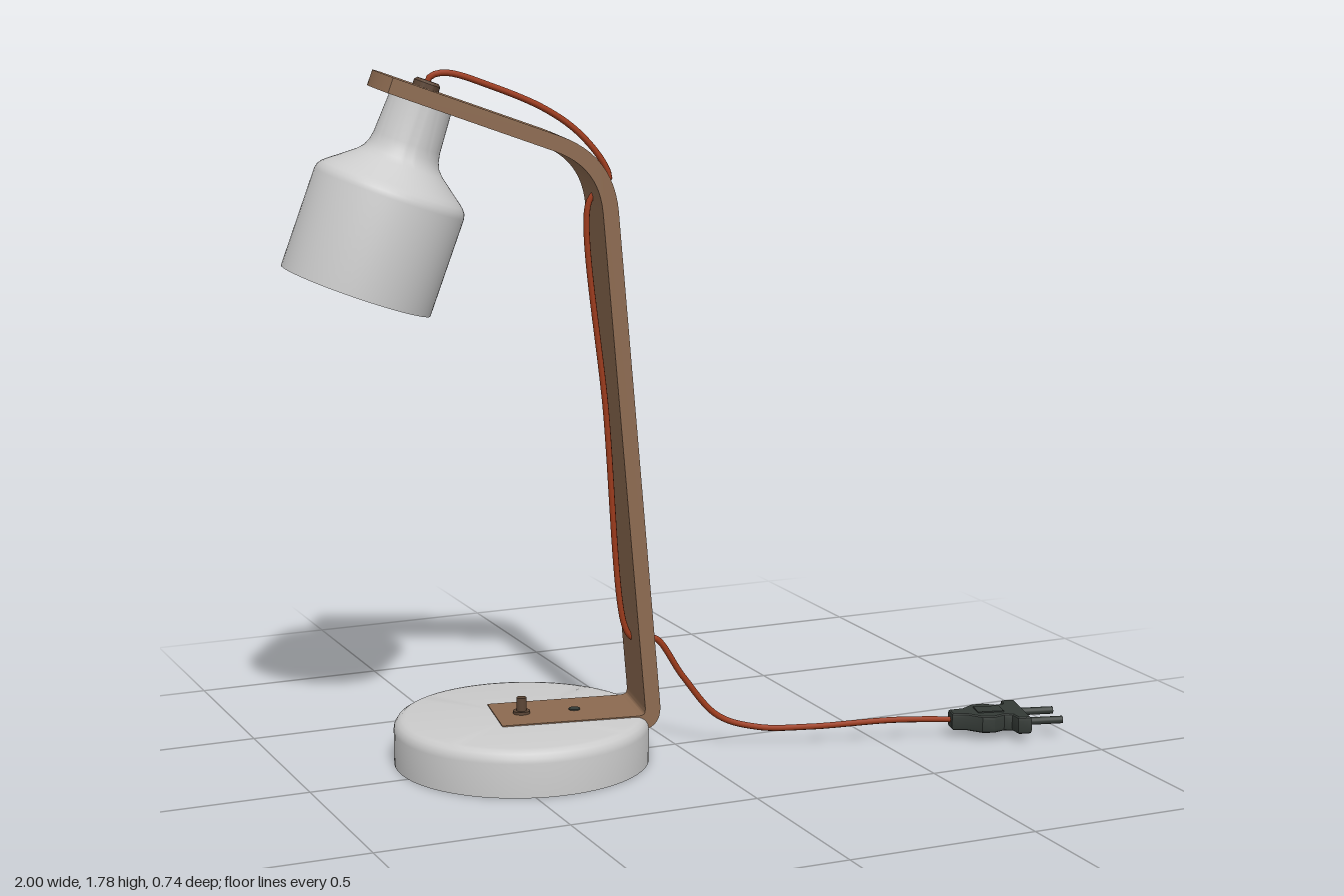
import * as THREE from 'three';
import { toCreasedNormals } from 'three/addons/utils/BufferGeometryUtils.js';

const material = (color, side = THREE.FrontSide) => new THREE.MeshStandardMaterial({ color, side });
const grey = material(0xcccccc);
const greyOpen = material(0xcccccc, THREE.DoubleSide);
const wood = material(0x8c6a50);
const metal = material(0x5c4636);
const cordRed = material(0x9c3a1a);
const black = material(0x343a36);

function add(parent, name, geometry, mat, position = [0, 0, 0], tilt = 0) {
  const mesh = new THREE.Mesh(geometry, mat);
  mesh.name = name;
  mesh.position.set(...position);
  mesh.rotation.z = tilt;
  parent.add(mesh);
  return mesh;
}

const lathe = (points) =>
  toCreasedNormals(new THREE.LatheGeometry(points.map((p) => new THREE.Vector2(...p)), 64), 0.6);

const cord = (points) => new THREE.TubeGeometry(
  new THREE.CatmullRomCurve3(points.map((p) => new THREE.Vector3(...p)), false, 'centripetal'), 120, 0.008, 8);

// Bent wooden strip: rounded outer path, offset inwards by its thickness
function stripGeometry(width, thickness) {
  const path = new THREE.Path();
  path.moveTo(-0.07, 0.083);
  path.lineTo(0.28, 0.083);
  path.quadraticCurveTo(0.35, 0.083, 0.344, 0.153);
  path.lineTo(0.239, 1.43);
  path.quadraticCurveTo(0.227, 1.572, 0.09, 1.622);
  path.lineTo(-0.355, 1.785);
  const outer = path.getPoints(12);
  const inner = outer.map((p, i) => {
    const before = p.clone().sub(outer[i - 1] ?? p).normalize();
    const after = (outer[i + 1] ?? p).clone().sub(p).normalize();
    const dir = before.add(after).normalize();
    return new THREE.Vector2(p.x - dir.y * thickness, p.y + dir.x * thickness);
  });
  const geometry = new THREE.ExtrudeGeometry(new THREE.Shape([...outer, ...inner.reverse()]),
    { depth: width, steps: 16, bevelEnabled: false });
  geometry.translate(0, 0, -width / 2);
  // Curve the free end of the arm
  const pos = geometry.attributes.position;
  for (let i = 0; i < pos.count; i++) {
    if (pos.getX(i) > -0.3) continue;
    const back = 0.036 * (2 * pos.getZ(i) / width) ** 2;
    pos.setX(i, pos.getX(i) + 0.939 * back);
    pos.setY(i, pos.getY(i) - 0.344 * back);
  }
  return toCreasedNormals(geometry, 0.5);
}

function createPlug() {
  const plug = new THREE.Group();
  plug.name = 'plug';
  // Flat body: half outline as [distance along, half width]
  const half = [[0, 0.018], [0.035, 0.024], [0.07, 0.055], [0.1, 0.058], [0.13, 0.042], [0.155, 0.048],
    [0.162, 0.08], [0.19, 0.08]];
  const outline = [...half, ...half.map(([x, w]) => [x, -w]).reverse()];
  const body = new THREE.ExtrudeGeometry(new THREE.Shape(outline.map((p) => new THREE.Vector2(...p))),
    { depth: 0.026, bevelThickness: 0.01, bevelSize: 0.005, bevelSegments: 2 });
  body.translate(0, 0, -0.013).rotateX(Math.PI / 2);
  add(plug, 'plugBody', toCreasedNormals(body, 0.6), black);
  // Raised grips on both faces
  for (const y of [-0.022, 0.022]) {
    add(plug, 'plugGrip', new THREE.BoxGeometry(0.07, 0.008, 0.05), black, [0.1, y, 0]);
  }
  for (const z of [-0.045, 0.045]) {
    add(plug, 'plugPin', new THREE.CylinderGeometry(0.01, 0.01, 0.11, 16), black, [0.235, 0, z], Math.PI / 2);
  }
  return plug;
}

export function createModel() {
  const model = new THREE.Group();
  model.name = 'deskLamp';

  // The lamp is turned slightly about the vertical axis of its base
  const lamp = new THREE.Group();
  lamp.name = 'lamp';
  lamp.position.set(-0.415, 0, -0.045);
  lamp.rotation.y = -0.17;
  model.add(lamp);

  add(lamp, 'base', lathe([[0, 0], [0.33, 0], [0.33, 0.088], [0.328, 0.1], [0.321, 0.111],
    [0.31, 0.118], [0.298, 0.12], [0, 0.12]]), grey);
  add(lamp, 'arm', stripGeometry(0.205, 0.04), wood);

  // Fixings on the foot of the strip
  add(lamp, 'footBolt', new THREE.CylinderGeometry(0.013, 0.013, 0.05, 16), metal, [0, 0.14, 0]);
  add(lamp, 'footWasher', new THREE.CylinderGeometry(0.022, 0.022, 0.008, 20), metal, [0, 0.126, 0]);
  add(lamp, 'footScrew', new THREE.CylinderGeometry(0.015, 0.015, 0.004, 20), black, [0.14, 0.124, 0]);

  // Shade hangs at right angles to the sloping arm
  const head = new THREE.Group();
  head.name = 'head';
  head.position.set(-0.408, 1.24, 0);
  head.rotation.z = -0.351;
  lamp.add(head);
  add(head, 'shade', lathe([[0.195, 0], [0.195, 0.255], [0.192, 0.268], [0.184, 0.279], [0.172, 0.289],
    [0.112, 0.335], [0.098, 0.35], [0.09, 0.368], [0.086, 0.39], [0.08, 0.497], [0, 0.497]]), greyOpen);
  add(head, 'shadeNut', lathe([[0.016, 0.525], [0.034, 0.525], [0.034, 0.543], [0.028, 0.55],
    [0.016, 0.55], [0.016, 0.525]]), metal);

  // Eyelets where the cord passes through the strip
  for (const [x, y] of [[0.233, 1.49], [0.331, 0.3]]) {
    const eyelet = add(lamp, 'cordEyelet', new THREE.TorusGeometry(0.014, 0.005, 8, 20), metal, [x, y, 0]);
    eyelet.rotation.set(0, Math.PI / 2, 0);
  }

  // Cord along the arm, then across the ground to the plug
  add(lamp, 'armCord', cord([[-0.225, 1.735, 0], [-0.215, 1.765, 0], [-0.175, 1.775, 0], [-0.056, 1.738, 0],
    [0.076, 1.68, 0], [0.16, 1.62, 0], [0.225, 1.54, 0], [0.238, 1.5, 0], [0.21, 1.475, 0],
    [0.184, 1.44, 0], [0.228, 0.9, 0], [0.274, 0.34, 0], [0.295, 0.305, 0], [0.335, 0.3, 0]]), cordRed);
  add(model, 'floorCord', cord([[-0.1, 0.3, 0.012], [-0.065, 0.3, 0.02], [0.01, 0.19, 0.03], [0.1, 0.08, 0.05],
    [0.2, 0.046, 0.085], [0.33, 0.043, 0.13], [0.545, 0.053, 0.195], [0.715, 0.046, 0.238]]), cordRed);

  const plug = createPlug();
  plug.position.set(0.7, 0.045, 0.235);
  plug.rotation.y = -0.25;
  model.add(plug);
  return model;
}
